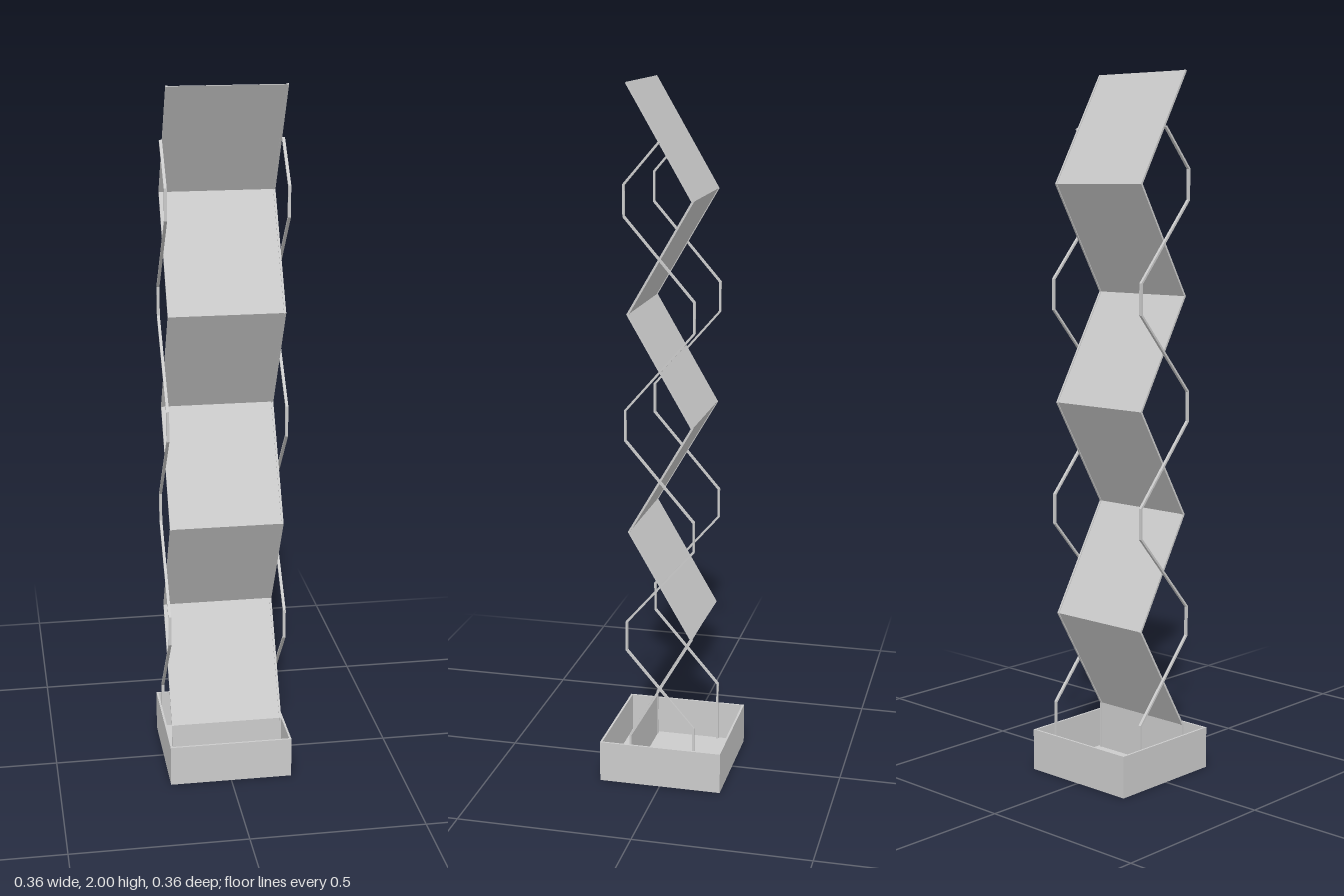
import * as THREE from 'three';

const material = new THREE.MeshStandardMaterial({ color: 0xcccccc, flatShading: true });

// Mitred strip following a (z, y) path, extruded across x and centred on xCentre
function strip(name, path, thickness, width, xCentre) {
  const pts = path.map(([z, y]) => new THREE.Vector2(z, y));
  const left = [], right = [];
  pts.forEach((p, i) => {
    const a = pts[Math.max(i - 1, 0)], b = pts[Math.min(i + 1, pts.length - 1)];
    const d1 = (i > 0 ? p.clone().sub(a) : b.clone().sub(p)).normalize();
    const d2 = (i < pts.length - 1 ? b.clone().sub(p) : d1.clone()).normalize();
    const n1 = new THREE.Vector2(-d1.y, d1.x);
    const miter = n1.clone().add(new THREE.Vector2(-d2.y, d2.x)).normalize();
    miter.multiplyScalar(thickness / 2 / miter.dot(n1));
    left.push(p.clone().add(miter));
    right.push(p.clone().sub(miter));
  });
  const shape = new THREE.Shape([...right, ...left.reverse()]);
  const geo = new THREE.ExtrudeGeometry(shape, { depth: width, bevelEnabled: false });
  geo.translate(0, 0, -width / 2);
  geo.rotateY(-Math.PI / 2);
  geo.translate(xCentre, 0, 0);
  const mesh = new THREE.Mesh(geo, material);
  mesh.name = name;
  return mesh;
}

function box(name, w, h, d, x, y, z) {
  const mesh = new THREE.Mesh(new THREE.BoxGeometry(w, h, d), material);
  mesh.name = name;
  mesh.position.set(x, y, z);
  return mesh;
}

// Open tray: floor and four walls
function createBase() {
  const base = new THREE.Group();
  base.name = 'baseTray';
  const size = 0.356, height = 0.12, wall = 0.006;
  base.add(box('trayFloor', size, wall, size, 0, wall / 2, 0));
  const wallHeight = height - wall, y = wall + wallHeight / 2, offset = (size - wall) / 2;
  for (const s of [-1, 1]) {
    base.add(box('trayWall', size, wallHeight, wall, 0, y, s * offset));
    base.add(box('trayWall', wall, wallHeight, size - 2 * wall, s * offset, y, 0));
  }
  return base;
}

export function createModel() {
  const group = new THREE.Group();
  group.name = 'foldingDisplayStand';
  group.add(createBase());

  // Zigzag path of the display panels
  const bottom = 0.145, step = 0.309, floorY = 0.006;
  const zigzag = [[0.09, floorY]];
  for (let i = 0; i <= 6; i++) zigzag.push([i % 2 ? -0.09 : 0.09, bottom + i * step - (i === 6 ? 0.001 : 0)]);
  group.add(strip('zigzagPanels', zigzag, 0.002, 0.314, 0));

  // Counter path of the folding braces: straight elbows joined by diagonals
  const brace = [[-0.097, floorY], [-0.097, 0.187]];
  for (let i = 1; i <= 5; i++) {
    const z = i % 2 ? 0.097 : -0.097, y = bottom + i * step;
    brace.push([z, y - 0.043], [z, y + 0.042]);
  }
  brace.push([0, 1.845]);

  // Panel edge bars and braces on both sides
  for (const s of [-1, 1]) {
    group.add(strip('panelEdgeBar', zigzag, 0.006, 0.006, s * 0.16));
    group.add(strip('foldingBrace', brace, 0.006, 0.008, s * 0.167));
  }
  return group;
}
